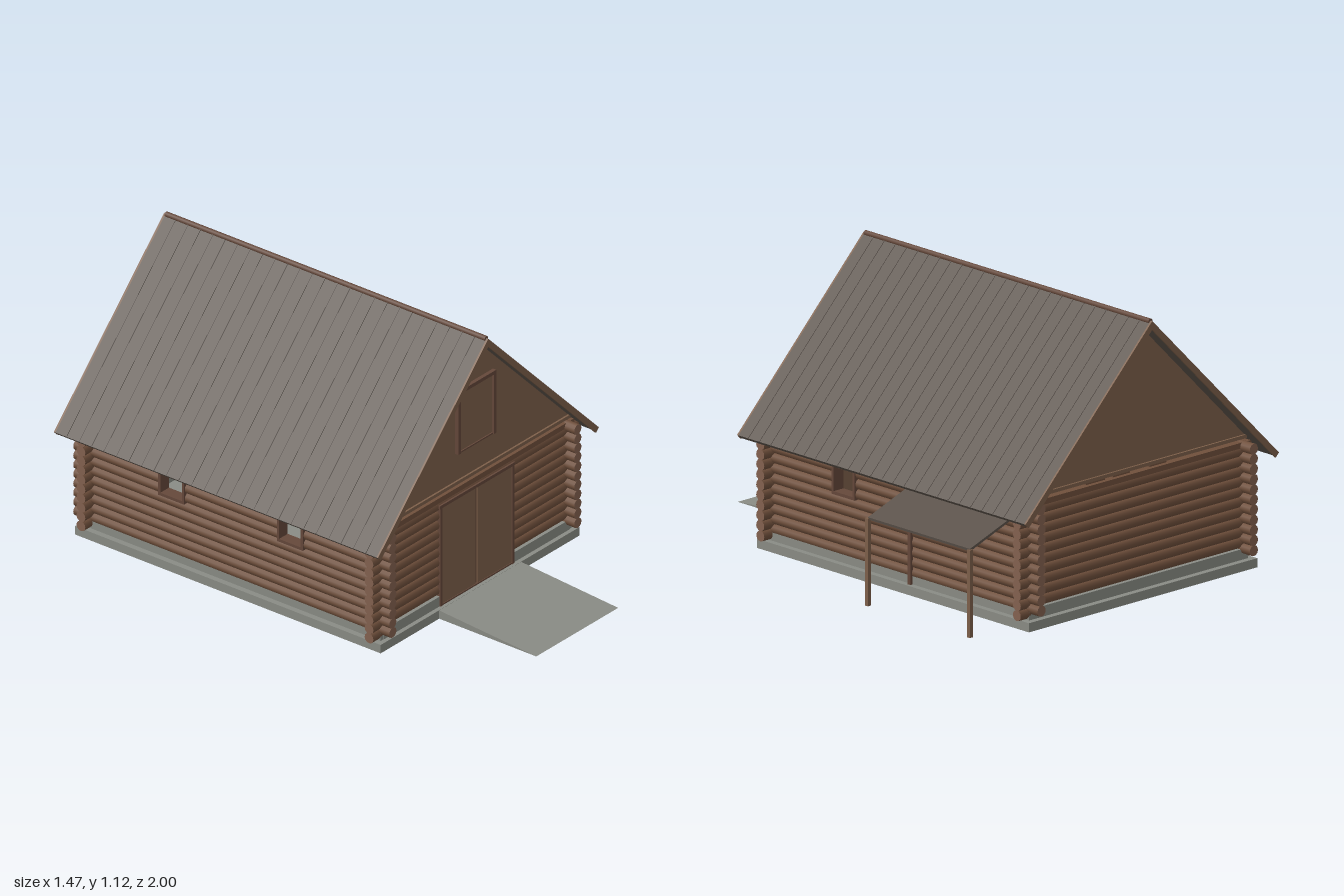
import * as THREE from 'three';

const material = (name, color, side = THREE.FrontSide) => {
  const m = new THREE.MeshStandardMaterial({ color, side });
  m.name = name;
  return m;
};

export function createModel() {
  const logWood = material('log wood', 0x70503c);
  const endWood = material('log end wood', 0x846250);
  const board = material('board wood', 0x7e604a);
  const trim = material('trim wood', 0x65483a);
  const roofing = material('roofing', 0x5c534b);
  const concrete = material('concrete', 0x8a8c85);

  const model = new THREE.Group();
  model.name = 'logCabin';

  const add = (name, geometry, mat, parent = model) => {
    const mesh = new THREE.Mesh(geometry, mat);
    mesh.name = name;
    parent.add(mesh);
    return mesh;
  };
  // Box given by its minimum and maximum on each axis
  const box = (name, mat, x0, x1, y0, y1, z0, z1, parent) => {
    const g = new THREE.BoxGeometry(x1 - x0, y1 - y0, z1 - z0);
    g.translate((x0 + x1) / 2, (y0 + y1) / 2, (z0 + z1) / 2);
    return add(name, g, mat, parent);
  };
  // Outline in x and y, extruded from z0 to z1
  const prism = (name, mat, points, z0, z1, parent) => {
    const shape = new THREE.Shape(points.map(([x, y]) => new THREE.Vector2(x, y)));
    const g = new THREE.ExtrudeGeometry(shape, { depth: z1 - z0, bevelEnabled: false });
    g.translate(0, 0, z0);
    return add(name, g, mat, parent);
  };

  const CX = -0.075;                    // ridge and building centre line
  const HALF = 0.553;                   // centre line to side wall axis
  const FRONT = 0.49, BACK = -0.905;    // front and back wall axes
  const R = 0.0215, PITCH = 0.04;

  // Foundation
  box('slab', concrete, -0.67, 0.52, 0, 0.036, -0.95, 0.53);
  for (const s of [-1, 1]) {
    const x = CX + s * HALF;
    box('sidePlinth', concrete, x - 0.018, x + 0.018, 0.036, 0.078, -0.925, 0.51);
  }
  box('backPlinth', concrete, -0.63, 0.48, 0.036, 0.078, -0.925, -0.885);
  box('frontPlinthRight', concrete, -0.63, -0.29, 0.036, 0.078, 0.47, 0.512);
  box('frontPlinthLeft', concrete, 0.14, 0.48, 0.036, 0.078, 0.47, 0.512);

  // Entry ramp: a wedge drawn in side profile
  const ramp = prism('ramp', concrete, [[0, 0], [0.48, 0], [0, 0.036]], 0, 0.49);
  ramp.rotation.y = -Math.PI / 2;
  ramp.position.set(0.17, 0, 0.52);

  // Log walls
  const walls = new THREE.Group();
  walls.name = 'logWalls';
  model.add(walls);
  const log = (axis, a, b, y, at) => {
    const g = new THREE.CylinderGeometry(R, R, b - a, 12);
    if (axis === 'x') g.rotateZ(Math.PI / 2).translate((a + b) / 2, y, at);
    else g.rotateX(Math.PI / 2).translate(at, y, (a + b) / 2);
    add(axis === 'x' ? 'crossLog' : 'sideLog', g, [logWood, endWood, endWood], walls);
  };
  const X0 = -0.69, X1 = 0.54, Z0 = -0.975, Z1 = 0.555;
  const windows = [[-0.56, -0.435], [0.015, 0.14]];
  for (let k = 0; k < 11; k++) {
    const yCross = 0.06 + PITCH * k, ySide = 0.08 + PITCH * k;
    // Front and back courses; the lowest are only stubs beside the plinth
    if (k === 0) {
      for (const z of [FRONT, BACK]) {
        log('x', X0, -0.635, yCross, z);
        log('x', 0.485, X1, yCross, z);
      }
    } else {
      log('x', X0, X1, yCross, BACK);
      if (k < 10) {
        log('x', X0, -0.288, yCross, FRONT);
        log('x', 0.138, X1, yCross, FRONT);
      } else log('x', X0, X1, yCross, FRONT);
    }
    // Side courses, cut for the windows
    for (const s of [-1, 1]) {
      const x = CX + s * HALF;
      if (ySide > 0.3 && ySide < 0.42) {
        log('z', Z0, windows[0][0], ySide, x);
        log('z', windows[0][1], windows[1][0], ySide, x);
        log('z', windows[1][1], Z1, ySide, x);
      } else log('z', Z0, Z1, ySide, x);
    }
  }
  // Top plates and joists in the gap below the gables
  for (const z of [FRONT, BACK]) box('topPlate', logWood, -0.665, 0.515, 0.475, 0.497, z - 0.018, z + 0.018, walls);
  for (const [a, b] of [[-0.24, -0.15], [-0.05, 0.04], [0.08, 0.18]]) {
    box('joist', logWood, a, b, 0.49, 0.512, BACK, FRONT, walls);
  }

  // Window frames in both side walls
  for (const s of [-1, 1]) {
    const x = CX + s * HALF, x0 = x - 0.026, x1 = x + 0.026;
    for (const [a, b] of windows) {
      const frame = new THREE.Group();
      frame.name = 'windowFrame';
      model.add(frame);
      box('sill', trim, x0, x1, 0.298, 0.31, a, b, frame);
      box('head', trim, x0, x1, 0.406, 0.42, a, b, frame);
      box('jamb', trim, x0, x1, 0.31, 0.406, a, a + 0.01, frame);
      box('jamb', trim, x0, x1, 0.31, 0.406, b - 0.01, b, frame);
    }
  }

  // Double door with frame
  box('rightDoorLeaf', board, -0.283, -0.08, 0.042, 0.455, 0.492, 0.512);
  box('leftDoorLeaf', board, -0.07, 0.133, 0.042, 0.455, 0.492, 0.512);
  box('doorSeam', trim, -0.08, -0.07, 0.042, 0.455, 0.492, 0.508);
  box('doorThreshold', trim, -0.29, 0.14, 0.036, 0.042, 0.475, 0.515);
  box('doorLintel', trim, -0.3, 0.15, 0.455, 0.468, 0.48, 0.517);
  for (const x of [-0.295, 0.133]) box('doorJamb', trim, x, x + 0.012, 0.036, 0.455, 0.475, 0.517);

  // Gables with a bottom rail
  for (const z of [FRONT, BACK]) {
    const dir = z === FRONT ? 1 : -1;
    prism('gable', board, [[CX - 0.578, 0.511], [CX + 0.578, 0.511], [CX, 1.089]], z - 0.012, z + 0.012);
    box('gableRail', board, CX - 0.565, CX + 0.565, 0.511, 0.525, z + dir * 0.015 - 0.005, z + dir * 0.015 + 0.005);
  }

  // Loft hatch
  box('hatchPanel', board, -0.176, 0.022, 0.648, 0.897, 0.5, 0.509);
  box('hatchHead', trim, -0.19, 0.036, 0.897, 0.912, 0.5, 0.518);
  for (const x of [-0.19, 0.022]) box('hatchJamb', trim, x, x + 0.014, 0.642, 0.897, 0.5, 0.518);
  box('hatchSill', trim, -0.176, 0.022, 0.642, 0.648, 0.5, 0.514);

  // Roof slopes, barge boards and standing seams
  const RZ0 = -1, RZ1 = 0.57;
  for (const s of [-1, 1]) {
    const slope = (lift, drop, reach) => [
      [CX, 1.11 + lift], [CX + s * reach, 1.11 + lift - reach],
      [CX + s * (reach - drop / 2), 1.11 + lift - reach - drop / 2], [CX, 1.11 + lift - drop]];
    prism('roofSlope', roofing, slope(0, 0.026, 0.66), RZ0 + 0.008, RZ1 - 0.008);
    prism('bargeBoard', board, slope(0, 0.034, 0.66), RZ1 - 0.008, RZ1);
    prism('bargeBoard', board, slope(0, 0.034, 0.66), RZ0, RZ0 + 0.008);
    for (let i = 1; i < 26; i++) {
      const z = RZ0 + (RZ1 - RZ0) * i / 26;
      prism('roofSeam', roofing, slope(0.003, 0.008, 0.66), z - 0.002, z + 0.002);
    }
  }
  const ridge = add('ridgeCap', new THREE.CylinderGeometry(0.011, 0.011, RZ1 - RZ0 - 0.02, 8), trim);
  ridge.rotation.x = Math.PI / 2;
  ridge.position.set(CX, 1.107, (RZ0 + RZ1) / 2);

  // Side lean-to on posts
  prism('leanToRoof', roofing, [[0.49, 0.431], [0.722, 0.348], [0.72, 0.338], [0.49, 0.421]], -0.84, -0.285);
  for (const z of [-0.84, -0.285]) box('leanToPost', board, 0.713, 0.73, 0, 0.345, z - 0.008, z + 0.008);
  box('wallPost', trim, 0.495, 0.508, 0.036, 0.425, -0.292, -0.278);

  return model;
}
